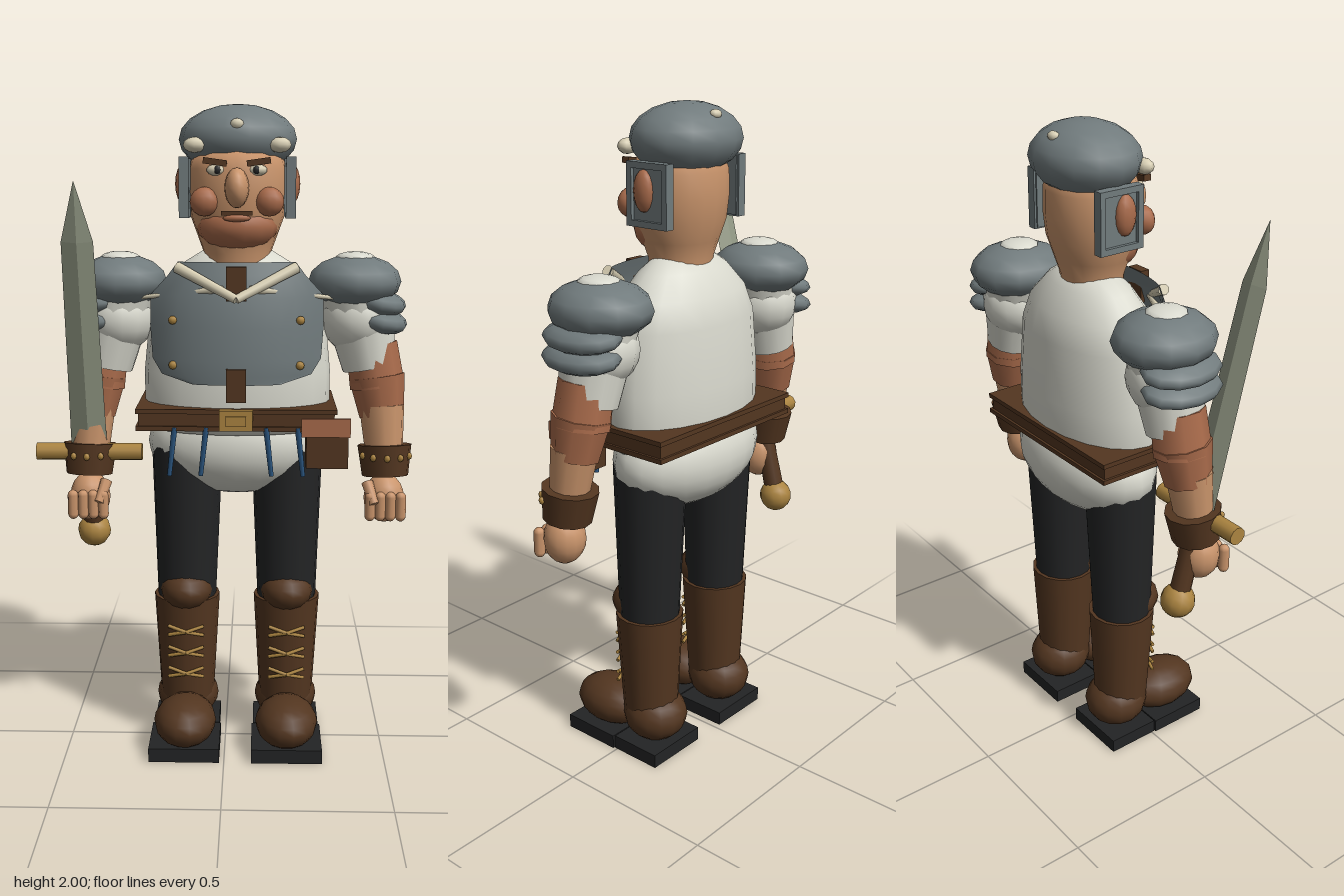
import * as THREE from 'three';

const mat = (name, hex) => {
  const m = new THREE.MeshStandardMaterial({ color: hex });
  m.name = name;
  return m;
};

export function createModel() {
  const steel = mat('steel', 0x717b7d), skin = mat('skin', 0xc9946b), ruddy = mat('ruddy skin', 0xa96b4b);
  const shirt = mat('shirt linen', 0xdadacf), leather = mat('brown leather', 0x533620), black = mat('black cloth', 0x232425);
  const gold = mat('brass', 0xab8440), bone = mat('bone', 0xd8cfb4), iron = mat('blade iron', 0x969c88), blue = mat('blue cord', 0x2b5680);
  steel.side = shirt.side = THREE.DoubleSide;

  const root = new THREE.Group();
  root.name = 'armouredSoldier';
  root.position.x = 0.035;
  const group = (name, parent = root) => {
    const g = new THREE.Group();
    g.name = name;
    parent.add(g);
    return g;
  };
  const add = (parent, name, geo, m, x = 0, y = 0, z = 0) => {
    const mesh = new THREE.Mesh(geo, m);
    mesh.name = name;
    mesh.position.set(x, y, z);
    parent.add(mesh);
    return mesh;
  };
  const ball = (p, name, m, [x, y, z], [rx, ry, rz], seg = 14) =>
    add(p, name, new THREE.SphereGeometry(1, seg, Math.round(seg * 0.7)).scale(rx, ry, rz), m, x, y, z);
  const box = (p, name, m, [x, y, z], [w, h, d]) => add(p, name, new THREE.BoxGeometry(w, h, d), m, x, y, z);
  // Tapered rod from point a to point b
  const rod = (p, name, m, a, b, ra, rb = ra, seg = 10) => {
    const A = new THREE.Vector3(...a), B = new THREE.Vector3(...b), d = B.clone().sub(A);
    const mesh = add(p, name, new THREE.CylinderGeometry(rb, ra, d.length(), seg), m);
    mesh.position.copy(A).add(B).multiplyScalar(0.5);
    mesh.quaternion.setFromUnitVectors(new THREE.Vector3(0, 1, 0), d.normalize());
    return mesh;
  };
  const lathe = (p, name, m, pts, depth, z, seg = 20) =>
    add(p, name, new THREE.LatheGeometry(pts.map(q => new THREE.Vector2(...q)), seg).scale(1, 1, depth), m, 0, 0, z);
  const faceted = geo => {
    const g = geo.toNonIndexed();
    g.computeVertexNormals();
    return g;
  };

  // Shirt
  const torso = group('torso');
  lathe(torso, 'shirtBody', shirt, [[0, 1.02], [0.27, 1.02], [0.288, 1.1], [0.288, 1.2], [0.27, 1.38], [0.235, 1.46],
    [0.165, 1.53], [0.1, 1.57], [0, 1.58]], 0.58, -0.05);
  ball(torso, 'shirtSkirt', shirt, [0, 0.97, -0.065], [0.28, 0.165, 0.168], 20);

  // Breastplate: a grid shaped by rows of [y, half width, front z]
  const rows = [[1.54, 0.175, 0.1], [1.5, 0.205, 0.115], [1.44, 0.26, 0.135], [1.35, 0.262, 0.148],
    [1.25, 0.255, 0.152], [1.205, 0.225, 0.15], [1.18, 0.13, 0.148]];
  const plate = new THREE.PlaneGeometry(2, 1, 12, rows.length - 1);
  const pp = plate.attributes.position;
  const bend = (x, front) => -0.05 + (front + 0.05) * Math.sqrt(1 - (x / 0.295) ** 2);
  for (let i = 0; i < pp.count; i++) {
    const [y, w, f] = rows[Math.floor(i / 13)];
    const x = pp.getX(i) * w;
    pp.setXYZ(i, x, y, bend(x, f));
  }
  plate.computeVertexNormals();
  add(torso, 'breastplate', plate, steel);
  box(torso, 'upperStrap', leather, [0, 1.48, 0.135], [0.06, 0.1, 0.03]);
  box(torso, 'lowerStrap', leather, [0, 1.18, 0.145], [0.06, 0.1, 0.03]);
  for (const s of [-1, 1]) {
    for (const y of [1.37, 1.235]) ball(torso, 'rivet', gold, [s * 0.19, y, bend(0.19, 0.15) + 0.004], [0.013, 0.013, 0.01], 8);
    rod(torso, 'collarBone', bone, [s * 0.178, 1.525, 0.085], [0, 1.437, 0.165], 0.017, 0.013, 8);
    rod(torso, 'thinCollarBone', bone, [s * 0.29, 1.43, 0.03], [s * 0.04, 1.465, 0.14], 0.006, 0.011, 6);
  }

  // Belt, buckle, pouch and cords
  const belt = group('belt');
  box(belt, 'beltBand', leather, [0, 1.072, -0.045], [0.59, 0.045, 0.345]);
  for (const y of [1.046, 1.098]) box(belt, 'beltRim', leather, [0, y, -0.045], [0.605, 0.014, 0.36]);
  box(belt, 'buckle', gold, [0, 1.075, 0.145], [0.1, 0.062, 0.03]);
  box(belt, 'buckleTongue', gold, [0, 1.075, 0.163], [0.06, 0.03, 0.01]);
  box(belt, 'pouch', leather, [0.272, 1.0, 0.125], [0.125, 0.13, 0.095]);
  box(belt, 'pouchFlap', ruddy, [0.267, 1.06, 0.178], [0.145, 0.055, 0.014]);
  for (const x of [0.09, 0.185]) for (const s of [-1, 1])
    rod(belt, 'cord', blue, [s * x, 1.05, 0.13], [s * (x + 0.017), 0.9, 0.125], 0.009, 0.007, 6);

  // Head
  const head = group('head');
  lathe(head, 'skull', skin, [[0.1, 1.5], [0.102, 1.56], [0.12, 1.61], [0.142, 1.67], [0.15, 1.74], [0.148, 1.81],
    [0.13, 1.86], [0, 1.89]], 0.89, -0.04);
  ball(head, 'stubbleChin', ruddy, [0, 1.642, -0.002], [0.122, 0.078, 0.1]);
  box(head, 'mouth', leather, [0, 1.682, 0.096], [0.092, 0.013, 0.012]);
  ball(head, 'lowerLip', ruddy, [0, 1.668, 0.098], [0.042, 0.011, 0.012], 8);
  ball(head, 'nose', skin, [0, 1.755, 0.1], [0.036, 0.058, 0.053]);
  for (const s of [-1, 1]) {
    ball(head, 'cheek', ruddy, [s * 0.096, 1.715, 0.068], [0.043, 0.043, 0.035], 12);
    ball(head, 'eye', bone, [s * 0.06, 1.806, 0.074], [0.029, 0.017, 0.02], 10);
    ball(head, 'pupil', black, [s * 0.057, 1.806, 0.09], [0.01, 0.012, 0.006], 8);
    box(head, 'eyebrow', leather, [s * 0.064, 1.829, 0.084], [0.07, 0.018, 0.025]).rotation.z = s * 0.14;
    box(head, 'cheekGuard', steel, [s * 0.152, 1.755, -0.063], [0.024, 0.17, 0.135]);
    for (const e of [-1, 1]) {
      box(head, 'guardFrameRail', steel, [s * 0.16, 1.755 + e * 0.081, -0.063], [0.03, 0.018, 0.148]);
      box(head, 'guardFramePost', steel, [s * 0.16, 1.755, -0.063 + e * 0.065], [0.03, 0.18, 0.018]);
    }
    ball(head, 'ear', ruddy, [s * 0.163, 1.765, -0.045], [0.026, 0.06, 0.034], 12);
    ball(head, 'helmetStud', bone, [s * 0.125, 1.878, 0.05], [0.034, 0.023, 0.025], 8);
  }
  ball(head, 'helmet', steel, [0, 1.897, -0.06], [0.178, 0.103, 0.152]);
  ball(head, 'frontStud', bone, [0, 1.937, 0.074], [0.02, 0.016, 0.014], 8);
  ball(head, 'rearStud', bone, [0, 1.968, -0.165], [0.02, 0.014, 0.016], 8);

  for (const s of [-1, 1]) {
    const side = s > 0 ? 'left' : 'right';

    // Shoulder armour and arm
    const arm = group(side + 'Arm');
    ball(arm, 'shoulderPad', steel, [s * 0.36, 1.472, -0.06], [0.143, 0.083, 0.155], 12);
    ball(arm, 'padCap', shirt, [s * 0.36, 1.545, -0.055], [0.06, 0.019, 0.062], 10);
    for (const [x, y] of [[0.435, 1.408], [0.44, 1.352]])
      ball(arm, 'shoulderLame', steel, [s * x, y, -0.06], [0.085, 0.04, 0.13], 12).rotation.z = -s * 0.15;
    rod(arm, 'sleeve', shirt, [s * 0.41, 1.21, -0.055], [s * 0.36, 1.45, -0.06], 0.085, 0.115, 14);
    ball(arm, 'sleeveBulge', shirt, [s * 0.37, 1.36, -0.06], [0.115, 0.11, 0.115]);
    rod(arm, 'upperArm', ruddy, [s * 0.435, 1.15, -0.05], [s * 0.415, 1.28, -0.055], 0.086, 0.08, 9);
    rod(arm, 'elbow', ruddy, [s * 0.45, 1.06, -0.038], [s * 0.433, 1.18, -0.05], 0.07, 0.088, 9);
    rod(arm, 'forearm', skin, [s * 0.46, 0.93, -0.015], [s * 0.45, 1.09, -0.035], 0.057, 0.07, 12);
    rod(arm, 'bracer', leather, [s * 0.464, 0.872, -0.012], [s * 0.461, 0.968, -0.025], 0.072, 0.084, 12);
    for (let i = -2; i <= 2; i++)
      ball(arm, 'bracerStud', gold, [s * 0.462 + Math.sin(i * 0.55) * 0.08, 0.94, -0.02 + Math.cos(i * 0.55) * 0.08], [0.01, 0.012, 0.01], 6);

    // Fist
    const hand = group(side + 'Hand', arm);
    ball(hand, 'palm', skin, [s * 0.46, 0.805, 0.005], [0.063, 0.077, 0.062]);
    for (let i = 0; i < 4; i++)
      add(hand, 'finger', new THREE.CapsuleGeometry(0.0165, 0.06, 4, 8), skin, s * 0.46 - 0.047 + i * 0.0313, 0.79, 0.062);
    rod(hand, 'thumb', skin, [s * 0.405, 0.86, 0.035], [s * 0.425, 0.8, 0.075], 0.019, 0.015, 8);

    // Leg and boot
    const leg = group(side + 'Leg');
    leg.position.x = s * 0.16;
    rod(leg, 'trouserLeg', black, [0, 0.46, -0.05], [-s * 0.003, 0.96, -0.055], 0.093, 0.112, 16);
    ball(leg, 'kneeGuard', leather, [0, 0.495, -0.018], [0.084, 0.067, 0.1]);
    rod(leg, 'bootShaft', leather, [0, 0.1, -0.053], [0, 0.47, -0.05], 0.084, 0.105, 16);
    for (const y of [0.37, 0.3, 0.23]) for (const e of [-1, 1]) {
      rod(leg, 'lace', gold, [-0.056, y - e * 0.015, 0.038], [0, y, 0.054], 0.006, 0.006, 6);
      rod(leg, 'lace', gold, [0, y, 0.054], [0.056, y + e * 0.015, 0.038], 0.006, 0.006, 6);
    }
    ball(leg, 'toe', leather, [0, 0.1, 0.11], [0.098, 0.076, 0.13]);
    ball(leg, 'heel', leather, [0, 0.118, -0.072], [0.1, 0.085, 0.102]);
    box(leg, 'frontSole', black, [0, 0.022, 0.11], [0.22, 0.044, 0.195]);
    box(leg, 'heelSole', black, [0, 0.022, -0.076], [0.21, 0.044, 0.17]);
  }

  // Sword, leaning forward in the right hand
  const sword = group('sword');
  sword.position.set(-0.46, 0.945, 0);
  sword.rotation.x = 0.255;
  const flat = new THREE.Vector3(1, 1, 0.3);
  add(sword, 'blade', faceted(new THREE.CylinderGeometry(0.047, 0.056, 0.68, 4)), iron, 0, 0.34, 0).scale.copy(flat);
  add(sword, 'bladeTip', faceted(new THREE.ConeGeometry(0.047, 0.18, 4)), iron, 0, 0.77, 0).scale.copy(flat);
  rod(sword, 'crossguard', gold, [-0.165, 0, 0], [0.165, 0, 0], 0.027, 0.027, 10);
  rod(sword, 'grip', leather, [0, -0.25, 0], [0, 0, 0], 0.032, 0.028, 10);
  ball(sword, 'pommel', gold, [0, -0.283, 0], [0.053, 0.053, 0.053], 12);

  return root;
}
